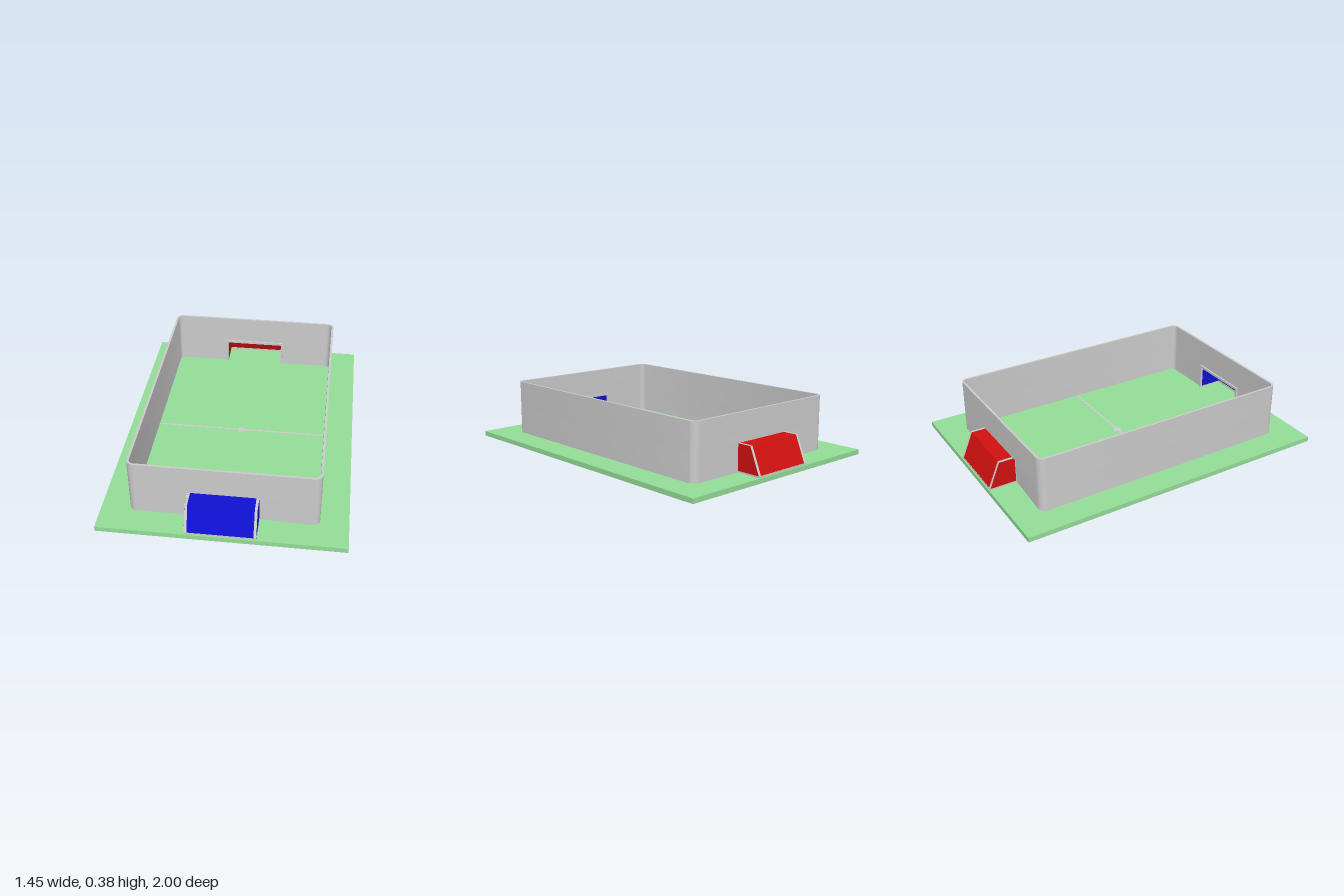
import * as THREE from 'three';
import { toCreasedNormals } from 'three/addons/utils/BufferGeometryUtils.js';

const GROUND = 0.03, GOAL_TOP = 0.2, WALL_TOP = 0.375;
const WX = 0.555, WZ = 0.835, T = 0.014, R = 0.045, MOUTH = 0.206, POST = 0.016;

const paint = (color) => new THREE.MeshStandardMaterial({ color });

function add(group, name, geometry, material, x = 0, y = 0, z = 0) {
  const mesh = new THREE.Mesh(geometry, material);
  mesh.name = name;
  mesh.position.set(x, y, z);
  group.add(mesh);
  return mesh;
}

// Rounded rectangle in plan, as a Shape or a hole
function roundedRect(path, w, d, r) {
  path.moveTo(w, -d + r);
  path.lineTo(w, d - r);
  path.absarc(w - r, d - r, r, 0, Math.PI / 2);
  path.absarc(-w + r, d - r, r, Math.PI / 2, Math.PI);
  path.absarc(-w + r, -d + r, r, Math.PI, Math.PI * 1.5);
  path.absarc(w - r, -d + r, r, Math.PI * 1.5, Math.PI * 2);
  return path;
}

// One C-shaped half of the wall, leaving both goal mouths open
function halfWall() {
  const s = new THREE.Shape(), q = Math.PI / 2, cx = WX - R, cz = WZ - R;
  s.moveTo(MOUTH, -WZ);
  s.absarc(cx, -cz, R, -q, 0);
  s.absarc(cx, cz, R, 0, q);
  s.lineTo(MOUTH, WZ);
  s.lineTo(MOUTH, WZ - T);
  s.absarc(cx, cz, R - T, q, 0, true);
  s.absarc(cx, -cz, R - T, 0, -q, true);
  s.lineTo(MOUTH, -WZ + T);
  s.closePath();
  return s;
}

function extrudeUp(shape, height) {
  const g = new THREE.ExtrudeGeometry(shape, { depth: height, bevelEnabled: false, curveSegments: 10 });
  return toCreasedNormals(g.rotateX(-Math.PI / 2), 0.6);
}

// Extrudes a profile given as [z, y] points across x, centred on x = 0
function extrudeAcross(points, width) {
  const shape = new THREE.Shape(points.map(([z, y]) => new THREE.Vector2(z, y)));
  const g = new THREE.ExtrudeGeometry(shape, { depth: width, bevelEnabled: false });
  return g.translate(0, 0, -width / 2).rotateY(-Math.PI / 2);
}

function buildGoal(name, grey, color) {
  const goal = new THREE.Group();
  goal.name = name;
  const inner = MOUTH - POST, front = 0.81, back = 0.992;

  // Tapered side plates with coloured faces
  const side = [[front, GROUND], [back, GROUND], [back, 0.04], [0.925, GOAL_TOP], [front, GOAL_TOP]];
  const skin = [[0.825, 0.04], [0.989, 0.04], [0.924, 0.199], [0.825, 0.199]];
  for (const s of [-1, 1]) {
    add(goal, 'sidePlate', extrudeAcross(side, POST), grey, s * (MOUTH - POST / 2));
    add(goal, 'sideOuterFace', extrudeAcross(skin, 0.001), color, s * MOUTH);
    add(goal, 'sideInnerFace', extrudeAcross(skin, 0.001), color, s * inner);
  }

  // Roof and sloping back in one bent sheet
  const sheet = [[0.826, 0.19], [0.918, 0.19], [0.979, 0.04], [0.991, 0.04], [0.925, GOAL_TOP], [0.826, GOAL_TOP]];
  add(goal, 'roofAndBack', extrudeAcross(sheet, inner * 2), color);

  // Crossbar and rear floor bar
  add(goal, 'crossbar', new THREE.BoxGeometry(inner * 2, POST, 0.016), grey, 0, GOAL_TOP - POST / 2, front + 0.008);
  add(goal, 'rearBar', new THREE.BoxGeometry(inner * 2, 0.01, 0.016), grey, 0, GROUND + 0.005, back - 0.008);
  return goal;
}

export function createModel() {
  const model = new THREE.Group();
  model.name = 'playingField';
  const grey = paint(0xcccccc);

  // Ground slab
  add(model, 'ground', new THREE.BoxGeometry(1.445, GROUND, 2), paint(0x94dd98), 0, GROUND / 2, 0);

  // Surrounding wall: two lower halves and a continuous upper band
  const lower = extrudeUp(halfWall(), GOAL_TOP - GROUND);
  add(model, 'lowerWallLeft', lower, grey, 0, GROUND, 0);
  add(model, 'lowerWallRight', lower, grey, 0, GROUND, 0).rotation.y = Math.PI;
  const ring = roundedRect(new THREE.Shape(), WX, WZ, R);
  ring.holes.push(roundedRect(new THREE.Path(), WX - T, WZ - T, R - T));
  add(model, 'upperWall', extrudeUp(ring, WALL_TOP - GOAL_TOP), grey, 0, GOAL_TOP, 0);

  // Centre markings
  add(model, 'centreLine', new THREE.BoxGeometry((WX - T) * 2, 0.002, 0.014), grey, 0, GROUND, 0);
  add(model, 'centreSpot', new THREE.CylinderGeometry(0.025, 0.025, 0.003, 24), grey, 0, GROUND, 0);

  // Goals at both ends
  model.add(buildGoal('frontGoal', grey, paint(0x1010d2)));
  const backGoal = buildGoal('backGoal', grey, paint(0xd21010));
  backGoal.rotation.y = Math.PI;
  model.add(backGoal);
  return model;
}
